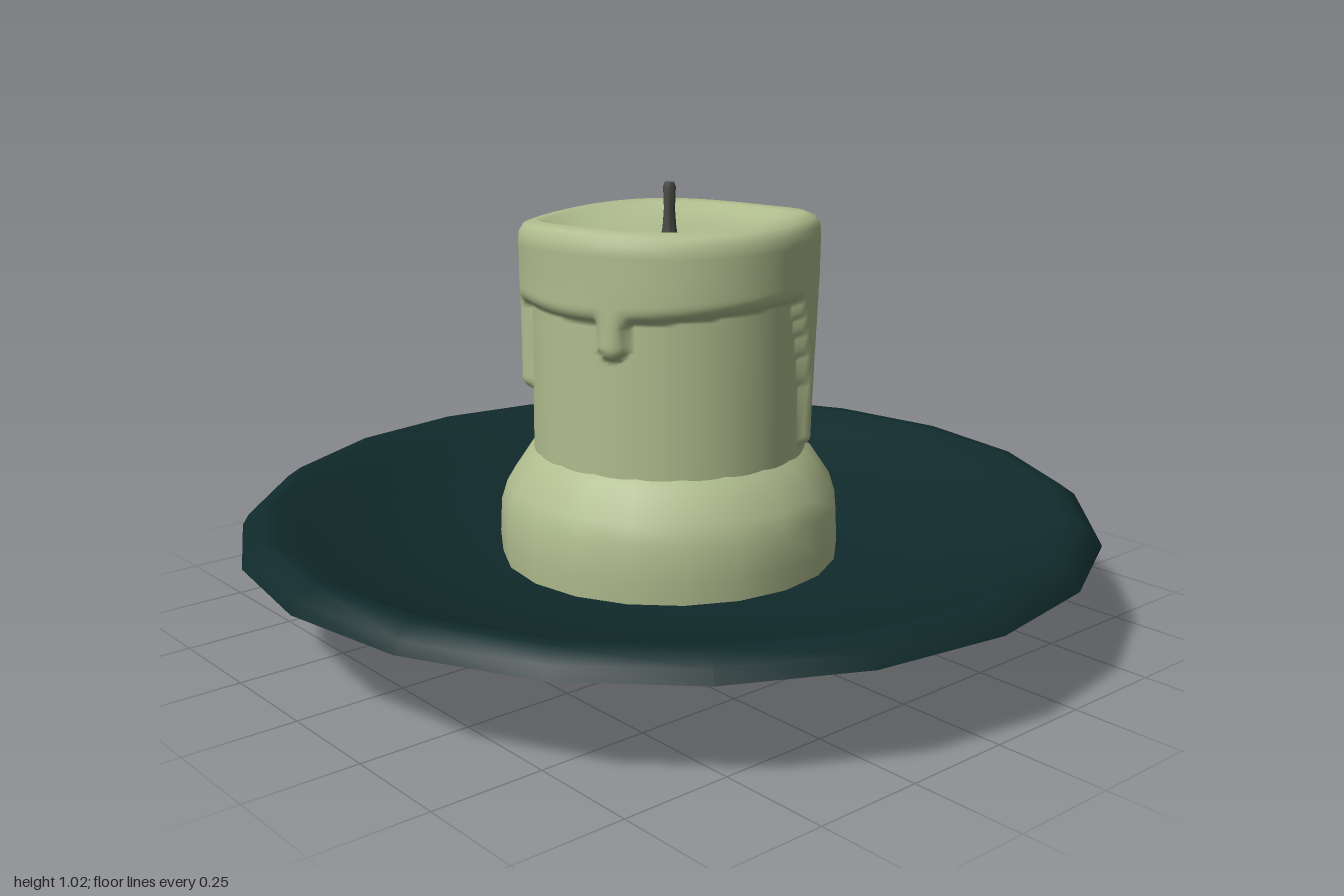
import * as THREE from 'three';
import { toCreasedNormals } from 'three/addons/utils/BufferGeometryUtils.js';

const wax = new THREE.MeshStandardMaterial({ color: 0xb0bd8e });
const glaze = new THREE.MeshStandardMaterial({ color: 0x102a2b });
const char = new THREE.MeshStandardMaterial({ color: 0x484844 });

const { smoothstep, clamp, degToRad } = THREE.MathUtils;

function mesh(name, geometry, material) {
  const m = new THREE.Mesh(geometry, material);
  m.name = name;
  return m;
}

function lathe(name, profile, sides, material, crease = 0.75) {
  const points = profile.map(([r, y]) => new THREE.Vector2(r, y));
  return mesh(name, toCreasedNormals(new THREE.LatheGeometry(points, sides), crease), material);
}

// Wax runs: angle from the front, tip height, half width at the top and at the tip
const drips = [
  { angle: 31, tip: 0.43, top: 0.085, end: 0.02 },
  { angle: 145, tip: 0.43, top: 0.034, end: 0.022 },
  { angle: 235, tip: 0.55, top: 0.03, end: 0.025 },
  { angle: 297, tip: 0.67, top: 0.06, end: 0.035 },
];

// How far a point on the wall lies inside the molten wax
function inside(a, y) {
  const dip = Math.exp(-(((a - degToRad(212)) / 0.4) ** 2));
  let d = y - (0.765 + 0.012 * Math.sin(2 * a + 1) - 0.065 * dip);
  for (const { angle, tip, top, end } of drips) {
    const delta = a - degToRad(angle);
    const side = Math.abs(Math.atan2(Math.sin(delta), Math.cos(delta))) * 0.33;
    const low = tip + end;
    const k = clamp((y - low) / (0.8 - low), 0, 1);
    const width = end + (top - end) * k * k;
    d = Math.max(d, width - Math.hypot(side, Math.min(y - low, 0)));
  }
  return d;
}

// Wall with the melted overhang and drips, closing over the rim into the pool
function candleGeometry() {
  const around = 180, wallRows = 75, wallLow = 0.38, wallHigh = 0.9;
  const rim = [[0.342, 0.92], [0.331, 0.938], [0.307, 0.947], [0.285, 0.942],
    [0.255, 0.926], [0.2, 0.91], [0.1, 0.902], [0, 0.9]];
  const rows = wallRows + 1 + rim.length;
  const positions = [], index = [];
  for (let i = 0; i < rows; i++) {
    for (let j = 0; j < around; j++) {
      const a = (j / around) * Math.PI * 2;
      let r, y;
      if (i <= wallRows) {
        y = wallLow + (wallHigh - wallLow) * (i / wallRows);
        const depth = clamp(inside(a, y) / 0.035, 0, 1);
        r = 0.317 + 0.027 * Math.sqrt(depth * (2 - depth));
      } else {
        [r, y] = rim[i - wallRows - 1];
      }
      const melt = smoothstep(y, 0.8, 0.94) * smoothstep(r, 0.1, 0.3);
      r *= 1 + 0.012 * melt * Math.sin(3 * a + 0.5);
      y += melt * (0.009 * Math.cos(a) + 0.005 * Math.sin(3 * a));
      positions.push(r * Math.sin(a), y, r * Math.cos(a));
      if (i < rows - 1) {
        const n = (j + 1) % around;
        const p = i * around + j, q = i * around + n;
        index.push(p, q, q + around);
        if (i < rows - 2) index.push(p, q + around, p + around);
        else index.splice(-3, 3, p, q, p + around);
      }
    }
  }
  const g = new THREE.BufferGeometry();
  g.setAttribute('position', new THREE.Float32BufferAttribute(positions, 3));
  g.setIndex(index);
  g.computeVertexNormals();
  return g;
}

export function createModel() {
  const model = new THREE.Group();
  model.name = 'candleOnDish';

  // Shallow dish
  model.add(lathe('dish', [
    [0, 0.12], [0.43, 0.12], [0.6, 0.145], [1, 0.23], [0.985, 0.255], [0.95, 0.28],
    [0.92, 0.28], [0.86, 0.245], [0.6, 0.175], [0.4, 0.15], [0, 0.15],
  ], 20, glaze));

  // Foot under the dish
  model.add(lathe('dishFoot', [
    [0, 0], [0.36, 0], [0.4, 0.022], [0.447, 0.08], [0.432, 0.125],
  ], 20, glaze));

  // Flared wax collar at the bottom of the candle
  model.add(lathe('candleBase', [
    [0.395, 0.14], [0.4, 0.2], [0.396, 0.28], [0.382, 0.325], [0.335, 0.395], [0.315, 0.412],
  ], 20, wax, 0.9));

  model.add(mesh('candleBody', candleGeometry(), wax));

  // Wick
  model.add(lathe('wick', [
    [0.021, 0.89], [0.016, 0.92], [0.013, 0.96], [0.015, 1.01], [0.011, 1.02], [0, 1.02],
  ], 10, char));

  return model;
}
